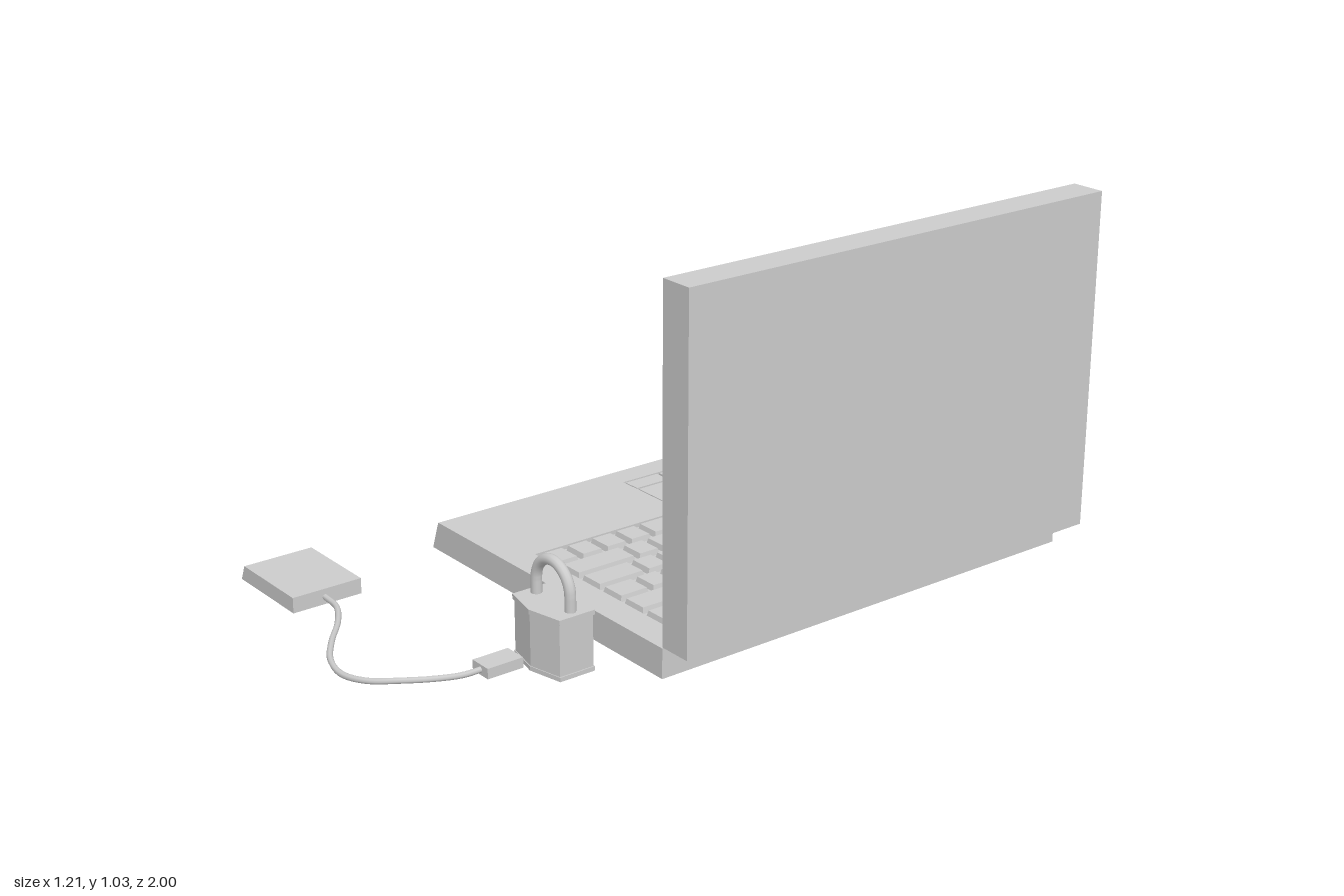
import * as THREE from 'three';

const mat = new THREE.MeshStandardMaterial({ color: 0xcccccc, flatShading: true });
const smooth = new THREE.MeshStandardMaterial({ color: 0xcccccc });

function add(parent, name, geo, material = mat) {
  const m = new THREE.Mesh(geo, material);
  m.name = name;
  parent.add(m);
  return m;
}

// Box given by its minimum and maximum corners
function box(x0, x1, y0, y1, z0, z1) {
  return new THREE.BoxGeometry(x1 - x0, y1 - y0, z1 - z0)
    .translate((x0 + x1) / 2, (y0 + y1) / 2, (z0 + z1) / 2);
}

// Shift vertices lying on a low-x, low-y edge so that the end slopes
function slopeEnd(geo, xMax, yMax, shift) {
  const p = geo.attributes.position;
  for (let i = 0; i < p.count; i++) {
    if (p.getX(i) < xMax && p.getY(i) < yMax) p.setX(i, p.getX(i) + shift);
  }
  geo.computeVertexNormals();
  return geo;
}

const rect = (a0, a1, b0, b1, Type = THREE.Shape) => new Type(
  [[a0, b0], [a1, b0], [a1, b1], [a0, b1]].map(([a, b]) => new THREE.Vector2(a, b)));

// Horizontal slab from an (x, z) outline, between two heights
function slab(shape, y0, y1) {
  return new THREE.ExtrudeGeometry(shape, { depth: y1 - y0, bevelEnabled: false })
    .rotateX(Math.PI / 2).translate(0, y1, 0);
}

// Keycap: a box whose top is slightly smaller than its foot
function keycap(x0, x1, z0, z1) {
  const g = box(x0, x1, 0.085, 0.101, z0, z1);
  const p = g.attributes.position, t = 0.004;
  const cx = (x0 + x1) / 2, cz = (z0 + z1) / 2;
  for (let i = 0; i < p.count; i++) {
    if (p.getY(i) < 0.095) continue;
    p.setX(i, p.getX(i) - Math.sign(p.getX(i) - cx) * t);
    p.setZ(i, p.getZ(i) - Math.sign(p.getZ(i) - cz) * t);
  }
  g.computeVertexNormals();
  return g;
}

function createLaptop() {
  const laptop = new THREE.Group();
  laptop.name = 'laptop';
  const zA = -1, zB = 0.365, top = 0.097, floor = 0.085;

  // Base with a sloping front edge
  add(laptop, 'baseBody', slopeEnd(box(-0.48, 0.51, 0.015, floor, zA, zB), -0.47, 0.05, -0.025));

  // Deck with openings for keyboard and touchpad
  const deck = rect(-0.475, 0.51, zA, zB);
  deck.holes.push(rect(-0.14, 0.41, -0.91, 0.28, THREE.Path));
  deck.holes.push(rect(-0.40, -0.185, -0.45, -0.21, THREE.Path));
  add(laptop, 'deck', slopeEnd(slab(deck, floor, top), -0.47, 0.09, -0.005));

  // Keyboard: relative key widths per row, from the hinge side to the front
  const keyboard = new THREE.Group();
  keyboard.name = 'keyboard';
  const ones = (n) => Array(n).fill(1);
  const rows = [
    ones(14),
    [...ones(13), 1.8],
    [1.5, ...ones(12), 1.3],
    [1.8, ...ones(11), 2],
    [2.3, ...ones(10), 2.5],
    [1.3, 1, 1, 1.2, 5, 1.2, 1, 1, 1, 1],
  ];
  const z0 = -0.905, length = 1.18, pitch = 0.09, gap = 0.007;
  rows.forEach((widths, r) => {
    const unit = length / widths.reduce((a, b) => a + b, 0);
    const x1 = 0.405 - r * pitch;
    let z = z0;
    for (const w of widths) {
      add(keyboard, 'key', keycap(x1 - pitch + gap, x1 - gap, z + gap, z + w * unit - gap));
      z += w * unit;
    }
  });
  laptop.add(keyboard);

  // Touchpad and its two buttons
  add(laptop, 'touchpad', box(-0.335, -0.19, floor, 0.096, -0.445, -0.215));
  add(laptop, 'touchpadButton', box(-0.395, -0.343, floor, 0.096, -0.445, -0.334));
  add(laptop, 'touchpadButton', box(-0.395, -0.343, floor, 0.096, -0.326, -0.215));

  // Upright lid: back shell, bezel and recessed screen
  add(laptop, 'lidShell', box(0.525, 0.605, 0.1, 1.03, zA, zB));
  const bezel = rect(zA, zB, 0.1, 1.03);
  bezel.holes.push(rect(zA + 0.042, zB - 0.042, 0.145, 0.985, THREE.Path));
  add(laptop, 'bezel', new THREE.ExtrudeGeometry(bezel, { depth: 0.015, bevelEnabled: false })
    .rotateY(-Math.PI / 2).translate(0.525, 0, 0));
  add(laptop, 'screen', box(0.52, 0.53, 0.145, 0.985, zA + 0.042, zB - 0.042));

  // Hinges
  for (const z of [-0.75, 0.14]) {
    add(laptop, 'hinge', new THREE.CylinderGeometry(0.021, 0.021, 0.18, 8)
      .rotateX(Math.PI / 2).translate(0.511, 0.098, z));
  }
  return laptop;
}

function createPadlock() {
  const lock = new THREE.Group();
  lock.name = 'padlock';
  // Six-sided outline, scaled for the body and its rims
  const outline = (s) => new THREE.Shape(
    [[-0.1, -0.053], [0, -0.075], [0.1, -0.053], [0.1, 0.053], [0, 0.075], [-0.1, 0.053]]
      .map(([x, z]) => new THREE.Vector2(x * s, z * s)));
  add(lock, 'lockBody', slab(outline(0.95), 0.005, 0.16));
  add(lock, 'lowerRim', slab(outline(0.98), 0, 0.012));
  add(lock, 'upperRim', slab(outline(1), 0.152, 0.165));

  // Shackle: two straight legs joined by a half circle
  const path = new THREE.CurvePath(), r = 0.071, y = 0.204;
  const pts = [];
  for (let i = 0; i <= 16; i++) {
    const a = Math.PI * (1 - i / 16);
    pts.push(new THREE.Vector3(Math.cos(a) * r, y + Math.sin(a) * r, 0));
  }
  path.add(new THREE.LineCurve3(new THREE.Vector3(-r, 0.15, 0), pts[0]));
  path.add(new THREE.CatmullRomCurve3(pts));
  path.add(new THREE.LineCurve3(pts[16], new THREE.Vector3(r, 0.15, 0)));
  add(lock, 'shackle', new THREE.TubeGeometry(path, 48, 0.0145, 12), smooth);
  lock.position.set(0.25, 0, 0.5);
  return lock;
}

function createDrive() {
  const drive = new THREE.Group();
  drive.name = 'externalDrive';
  // Case with one sloping end
  add(drive, 'driveCase', slopeEnd(box(-0.59, -0.337, 0.03, 0.073, 0.695, 0.897), -0.5, 0.05, -0.018));
  // Plug and cable
  add(drive, 'plug', box(0.222, 0.287, 0.036, 0.064, 0.618, 0.722));
  const pts = [
    [-0.345, 0.05, 0.802], [-0.27, 0.05, 0.81], [-0.19, 0.049, 0.853], [-0.1, 0.048, 0.925],
    [-0.02, 0.045, 0.975], [0.06, 0.043, 0.991], [0.14, 0.05, 0.968], [0.2, 0.058, 0.915],
    [0.24, 0.056, 0.84], [0.254, 0.05, 0.77], [0.255, 0.05, 0.71],
  ].map((p) => new THREE.Vector3(...p));
  add(drive, 'cable', new THREE.TubeGeometry(new THREE.CatmullRomCurve3(pts), 64, 0.008, 8), smooth);
  return drive;
}

export function createModel() {
  const model = new THREE.Group();
  model.name = 'laptopSet';
  model.add(createLaptop(), createPadlock(), createDrive());
  return model;
}
